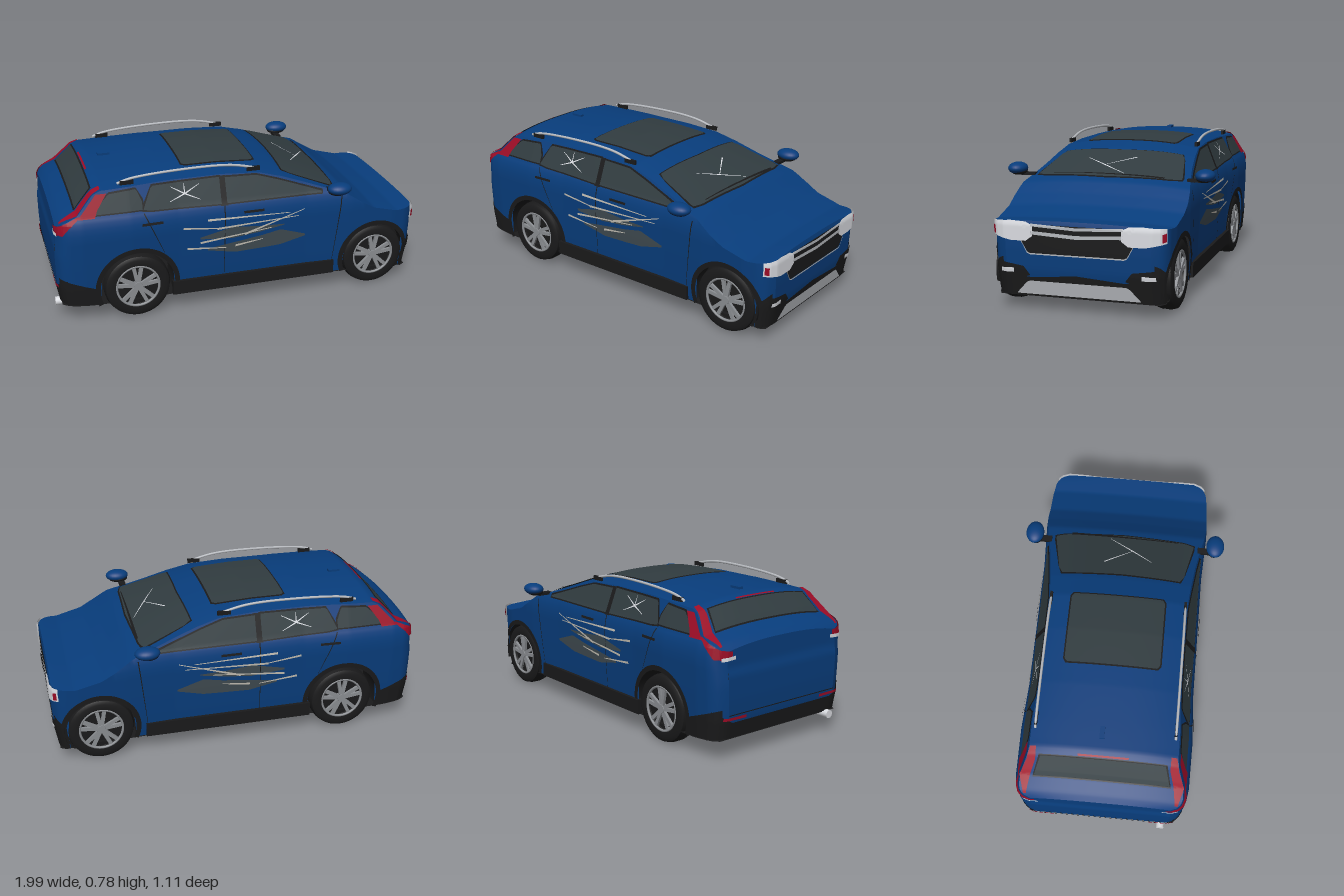
import * as THREE from 'three';
import { toCreasedNormals } from 'three/addons/utils/BufferGeometryUtils.js';

const mat = (name, color) => new THREE.MeshStandardMaterial({ name, color, side: THREE.DoubleSide });
const blue = mat('body blue', 0x083d7c), glass = mat('tinted glass', 0x313c40), black = mat('black trim', 0x1a1a1b),
  silver = mat('silver', 0xb6b9be), alloy = mat('wheel alloy', 0x8b8e92), white = mat('lamp white', 0xdadce1),
  red = mat('lamp red', 0x9c0c26), primer = mat('bare primer', 0x3f4a50), chalk = mat('scratch', 0xc2bdb2);

// Piecewise linear lookup in a list of [in, out] pairs
function lerp(pts, t) {
  if (t <= pts[0][0]) return pts[0][1];
  for (let i = 1; i < pts.length; i++) {
    const [a, va] = pts[i - 1], [b, vb] = pts[i];
    if (t <= b) return va + (vb - va) * (t - a) / (b - a);
  }
  return pts[pts.length - 1][1];
}

// Body form: plan outline, side section, centre line and edge drop
const END = 0.985;
const PLAN = [[0, 0.445], [0.35, 0.445], [0.6, 0.458], [0.85, 0.455], [0.92, 0.445], [0.95, 0.43], [0.97, 0.41], [END, 0.37]];
const PLAN_INV = PLAN.slice(3).map(([x, z]) => [z, x]).reverse();
const SECTION = [[0.06, 0.95], [0.2, 0.975], [0.35, 0.99], [0.5, 1], [0.56, 0.975], [0.59, 0.94], [0.73, 0.815], [0.77, 0.78]];
const TOP = [[-END, 0.57], [-0.95, 0.595], [-0.87, 0.63], [-0.78, 0.725], [-0.74, 0.742], [-0.4, 0.755], [-0.1, 0.755],
  [0.1, 0.743], [0.22, 0.712], [0.53, 0.597], [0.57, 0.582], [0.65, 0.528], [0.73, 0.48], [0.87, 0.441], [END, 0.445]];
const DROP = [[-END, 0.03], [-0.7, 0.035], [0.2, 0.035], [0.6, 0.02], [END, 0.012]];
const BASE = [[-END, 0.11], [-0.8, 0.1], [0.85, 0.1], [0.93, 0.07]];
const WHEELS = [{ name: 'front', x: 0.745, arch: 0.19 }, { name: 'rear', x: -0.575, arch: 0.205 }];
const HUB = 0.175;

const sideZ = (x, y) => lerp(PLAN, Math.abs(x)) * lerp(SECTION, y);
const edgeY = x => lerp(TOP, x) - lerp(DROP, x);
function topY(x, z) {
  const e = edgeY(x), f = Math.min(1, Math.abs(z) / sideZ(x, e));
  return e + lerp(DROP, x) * (1 - f ** 2.5);
}
function bottomY(x) {
  let y = lerp(BASE, x);
  for (const w of WHEELS) {
    const d = w.arch ** 2 - (x - w.x) ** 2;
    if (d > 0.075 ** 2) y = HUB + Math.sqrt(d);
  }
  return y;
}
// Tucks the bumpers in at their lower edges
function place(x, y, z) {
  const t = Math.max(0, (Math.abs(x) - 0.85) / 0.135);
  return [x - Math.sign(x) * t * lerp([[0.06, 0.025], [0.2, 0.004], [0.3, 0], [0.42, 0], [0.46, 0.01]], y), y, z];
}
// Surface maps for details lying on the body, lifted by e
const onSide = e => (x, y) => place(x, y, sideZ(x, y) + e);
const onTop = e => (x, z) => place(x, topY(x, z) + e, z);
const onEnd = (s, e) => (z, y) => place(s * (lerp(PLAN_INV, Math.abs(z) / lerp(SECTION, y)) + e), y, z * (1 + e));

function grid(nu, nv, fn) {
  const pos = [], idx = [];
  for (let i = 0; i <= nu; i++) for (let j = 0; j <= nv; j++) pos.push(...fn(i / nu, j / nv));
  for (let i = 0; i < nu; i++) for (let j = 0; j < nv; j++) {
    const a = i * (nv + 1) + j, b = a + nv + 1;
    idx.push(a, b, a + 1, b, b + 1, a + 1);
  }
  const g = new THREE.BufferGeometry();
  g.setAttribute('position', new THREE.Float32BufferAttribute(pos, 3));
  g.setIndex(idx);
  return toCreasedNormals(g, 0.6);
}
function add(parent, name, geo, material, x = 0, y = 0, z = 0) {
  const m = new THREE.Mesh(geo, material);
  m.name = name;
  m.position.set(x, y, z);
  parent.add(m);
  return m;
}
// Thin panel given by columns [u, low, high] on a surface map
function panel(parent, name, cols, map, material) {
  const lo = cols.map(c => [c[0], c[1]]), hi = cols.map(c => [c[0], c[2]]);
  const u0 = cols[0][0], u1 = cols[cols.length - 1][0];
  add(parent, name, grid(36, 10, (s, t) => {
    const u = u0 + (u1 - u0) * s;
    return map(u, lerp(lo, u) * (1 - t) + lerp(hi, u) * t);
  }), material);
}
// Glass with a narrow black seal around it
function pane(parent, name, cols, on) {
  const k = 0.008, n = cols.length - 1;
  const seal = cols.map(([u, a, b], i) => [u + (i === 0 ? -k : i === n ? k : 0), a - k, b + k]);
  panel(parent, name + 'Seal', seal, on(0.003), black);
  panel(parent, name, cols, on(0.006), glass);
}
// Tapered stroke from (a,b) to (c,d)
function stroke(parent, name, [a, b, c, d], w, map, material) {
  const l = Math.hypot(c - a, d - b), nx = -(d - b) / l, ny = (c - a) / l;
  add(parent, name, grid(10, 1, (s, t) => {
    const o = (t - 0.5) * w * (1.2 - 0.8 * s);
    return map(a + (c - a) * s + nx * o, b + (d - b) * s + ny * o);
  }), material);
}

function makeWheel(name) {
  const g = new THREE.Group();
  g.name = name + 'Wheel';
  const prof = [[0.105, -0.045], [0.15, -0.054], [0.168, -0.044], [0.175, -0.02], [0.17, -0.015], [0.17, -0.008], [0.175, -0.004],
    [0.175, 0.02], [0.168, 0.044], [0.15, 0.054], [0.118, 0.05], [0.112, 0.03]].map(p => new THREE.Vector2(...p));
  add(g, 'tyre', toCreasedNormals(new THREE.LatheGeometry(prof, 48).rotateX(Math.PI / 2), 0.7), black);
  add(g, 'wheelBack', new THREE.CylinderGeometry(0.113, 0.113, 0.05, 40).rotateX(Math.PI / 2), black);
  add(g, 'rimEdge', new THREE.TorusGeometry(0.113, 0.007, 8, 48), alloy, 0, 0, 0.045);
  add(g, 'hub', new THREE.CylinderGeometry(0.022, 0.026, 0.03, 20).rotateX(Math.PI / 2), alloy, 0, 0, 0.037);
  for (let i = 0; i < 10; i++) {
    const a = Math.floor(i / 2) * Math.PI * 0.4 + Math.PI / 2 + (i % 2 ? 0.19 : -0.19);
    const s = add(g, 'spoke', new THREE.BoxGeometry(0.098, 0.019, 0.014), alloy, Math.cos(a) * 0.063, Math.sin(a) * 0.063, 0.041);
    s.rotation.z = a;
  }
  return g;
}

function makeBody() {
  const g = new THREE.Group();
  g.name = 'body';
  const ROWS = [0.06, 0.1, 0.15, 0.2, 0.25, 0.3, 0.35, 0.4, 0.45, 0.5, 0.53, 0.56, 0.575, 0.59, 0.63, 0.67, 0.71, 0.76];
  const n = ROWS.length, across = 20, total = 2 * n + across - 1;
  add(g, 'bodyShell', grid(158, total - 1, (s, t) => {
    const x = -END + 2 * END * s, j = Math.round(t * (total - 1)), e = edgeY(x);
    if (j >= n && j < n + across - 1) {
      const z = sideZ(x, e) * (1 - 2 * (j - n + 1) / across);
      return place(x, topY(x, z), z);
    }
    const y = Math.min(e, Math.max(bottomY(x), ROWS[j < n ? j : total - 1 - j]));
    return place(x, y, sideZ(x, y) * (j < n ? 1 : -1));
  }), blue);
  for (const s of [-1, 1]) add(g, s > 0 ? 'noseFace' : 'tailFace', grid(20, 24, (u, v) => {
    const x = s * END, f = 2 * u - 1, b = bottomY(x), y = b + v * (topY(x, f * sideZ(x, edgeY(x))) - b);
    return place(x, y, f * sideZ(x, Math.min(y, edgeY(x))));
  }), blue);
  add(g, 'floor', grid(60, 2, (s, t) => {
    const x = -0.965 + 1.925 * s;
    return [x, lerp([[-END, 0.105], [-0.8, 0.095], [0.85, 0.095], [0.93, 0.068]], x), (2 * t - 1) * sideZ(x, 0.1)];
  }), black);

  // Windscreen, sunroof and tailgate glass
  pane(g, 'windscreen', [[-0.385, 0.485, 0.5], [-0.335, 0.24, 0.515], [0, 0.25, 0.53], [0.335, 0.24, 0.515], [0.385, 0.485, 0.5]],
    e => (z, x) => onTop(e)(x, z));
  pane(g, 'sunroof', [[-0.285, -0.235, 0.235], [-0.27, -0.25, 0.25], [0.09, -0.25, 0.25], [0.105, -0.235, 0.235]], onTop);
  pane(g, 'rearGlass', [[-0.87, -0.35, 0.35], [-0.785, -0.32, 0.32]], onTop);
  panel(g, 'highBrakeLamp', [[-0.775, -0.13, 0.13], [-0.765, -0.13, 0.13]], onTop(0.004), red);
  for (const c of [[0.33, -0.1, 0.42, 0.05], [0.42, 0.05, 0.5, -0.08], [0.42, 0.05, 0.35, 0.16]])
    stroke(g, 'windscreenCrack', c, 0.006, onTop(0.009), white);
  stroke(g, 'wiper', [0.52, -0.3, 0.51, 0.3], 0.012, onTop(0.012), black);
  add(g, 'aerialFin', new THREE.BoxGeometry(0.065, 0.012, 0.025), blue, -0.65, 0.752, -0.015);

  // Grille, lower bumper and skid plate
  const nose = e => onEnd(1, e);
  panel(g, 'grille', [[-0.28, 0.345, 0.35], [-0.245, 0.285, 0.39], [-0.22, 0.285, 0.425], [0.22, 0.285, 0.425], [0.245, 0.285, 0.39], [0.28, 0.345, 0.35]], nose(0.004), black);
  panel(g, 'grilleUpperBar', [[-0.23, 0.417, 0.43], [0, 0.405, 0.42], [0.23, 0.417, 0.43]], nose(0.009), silver);
  panel(g, 'grilleLowerBar', [[-0.23, 0.378, 0.395], [0, 0.365, 0.383], [0.23, 0.378, 0.395]], nose(0.009), silver);
  panel(g, 'grilleSill', [[-0.28, 0.345, 0.352], [-0.245, 0.28, 0.287], [0.245, 0.28, 0.287], [0.28, 0.345, 0.352]], nose(0.008), silver);
  panel(g, 'frontLowerBumper', [[-0.43, 0.07, 0.24], [-0.4, 0.07, 0.2], [-0.25, 0.07, 0.165], [0, 0.07, 0.185], [0.25, 0.07, 0.165], [0.4, 0.07, 0.2], [0.43, 0.07, 0.24]], nose(0.004), black);
  panel(g, 'skidPlate', [[-0.31, 0.08, 0.083], [-0.25, 0.08, 0.148], [0.25, 0.08, 0.148], [0.31, 0.08, 0.083]], nose(0.008), silver);
  panel(g, 'rearLowerBumper', [[-0.43, 0.11, 0.25], [-0.34, 0.11, 0.19], [0.34, 0.11, 0.19], [0.43, 0.11, 0.25]], onEnd(-1, 0.004), black);
  panel(g, 'tailgateSeam', [[-0.36, 0.225, 0.23], [0.36, 0.225, 0.23]], onEnd(-1, 0.003), black);
  add(g, 'exhaust', new THREE.CylinderGeometry(0.022, 0.022, 0.07, 16).rotateZ(Math.PI / 2), white, -0.96, 0.095, 0.33);
  return g;
}

// Everything repeated on both flanks
function makeFlank() {
  const g = new THREE.Group();
  pane(g, 'frontDoorGlass', [[-0.09, 0.58, 0.705], [0.08, 0.58, 0.7], [0.2, 0.58, 0.665], [0.32, 0.58, 0.625], [0.43, 0.58, 0.588]], onSide);
  pane(g, 'rearDoorGlass', [[-0.53, 0.597, 0.602], [-0.48, 0.59, 0.705], [-0.12, 0.58, 0.71]], onSide);
  pane(g, 'quarterGlass', [[-0.8, 0.6, 0.605], [-0.7, 0.6, 0.69], [-0.56, 0.6, 0.7], [-0.535, 0.6, 0.64]], onSide);
  panel(g, 'centrePillar', [[-0.125, 0.57, 0.715], [-0.085, 0.57, 0.715]], onSide(0.005), black);
  for (const c of [[-0.31, 0.65, -0.38, 0.69], [-0.31, 0.65, -0.23, 0.69], [-0.31, 0.65, -0.39, 0.62], [-0.31, 0.65, -0.23, 0.615], [-0.31, 0.65, -0.31, 0.7]])
    stroke(g, 'windowCrack', c, 0.006, onSide(0.009), white);
  for (const c of [[-0.105, 0.57, -0.11, 0.17], [0.54, 0.55, 0.5, 0.17], [-0.53, 0.58, -0.43, 0.35]])
    stroke(g, 'doorSeam', c, 0.005, onSide(0.003), black);
  for (const x of [-0.545, -0.005]) panel(g, 'doorHandle', [[x, 0.52, 0.533], [x + 0.11, 0.52, 0.533]], onSide(0.009), black);

  // Dents and scratches on the doors
  panel(g, 'lowerDent', [[-0.2, 0.33, 0.34], [-0.05, 0.3, 0.36], [0.1, 0.305, 0.38], [0.2, 0.31, 0.4], [0.34, 0.345, 0.355]], onSide(0.003), primer);
  panel(g, 'upperDent', [[-0.24, 0.4, 0.41], [-0.06, 0.385, 0.45], [0.08, 0.4, 0.435], [0.22, 0.425, 0.43]], onSide(0.003), primer);
  for (const c of [[-0.33, 0.475, -0.13, 0.45], [-0.31, 0.355, -0.1, 0.335], [-0.2, 0.505, 0.25, 0.495], [-0.15, 0.45, 0.3, 0.47], [0, 0.4, 0.33, 0.505], [-0.24, 0.38, 0.15, 0.42], [-0.05, 0.34, 0.1, 0.36]])
    stroke(g, 'scratch', c, 0.01, onSide(0.006), chalk);

  // Lamps
  panel(g, 'headlamp', [[0.22, 0.37, 0.422], [0.255, 0.345, 0.438], [0.33, 0.345, 0.442], [0.43, 0.365, 0.436]], onEnd(1, 0.009), white);
  panel(g, 'sideMarker', [[0.412, 0.37, 0.41], [0.428, 0.375, 0.415]], onEnd(1, 0.013), red);
  panel(g, 'fogSurround', [[0.24, 0.175, 0.18], [0.27, 0.165, 0.22], [0.405, 0.17, 0.24]], onEnd(1, 0.006), black);
  panel(g, 'fogLamp', [[0.318, 0.187, 0.21], [0.385, 0.187, 0.207]], onEnd(1, 0.01), white);
  panel(g, 'tailLampUpper', [[0.585, -0.87, -0.78], [0.62, -0.835, -0.765], [0.695, -0.765, -0.71]], (y, x) => onSide(0.007)(x, Math.min(y, edgeY(x))), red);
  panel(g, 'tailLampTop', [[-0.965, 0.385, 0.4], [-0.87, 0.37, 0.425], [-0.8, 0.345, 0.39], [-0.74, 0.345, 0.375]], onTop(0.006), red);
  panel(g, 'tailLampSide', [[0.505, -0.98, -0.955], [0.545, -0.97, -0.92], [0.6, -0.93, -0.85]], (y, x) => onSide(0.007)(x, Math.min(y, edgeY(x))), red);
  panel(g, 'tailLampLower', [[0.34, 0.515, 0.54], [0.4, 0.5, 0.55], [0.425, 0.515, 0.565]], onEnd(-1, 0.006), red);
  panel(g, 'reverseLamp', [[0.32, 0.5, 0.518], [0.4, 0.495, 0.513]], onEnd(-1, 0.009), white);
  panel(g, 'rearReflector', [[0.25, 0.203, 0.217], [0.39, 0.205, 0.219]], onEnd(-1, 0.008), red);

  // Cladding, sill and wheel arches
  add(g, 'sill', new THREE.BoxGeometry(0.9, 0.075, 0.03), black, 0.06, 0.137, 0.435);
  panel(g, 'rearCornerCladding', [[-0.975, 0.11, 0.26], [-0.78, 0.1, 0.19]], onSide(0.004), black);
  panel(g, 'frontCornerCladding', [[0.925, 0.07, 0.2], [0.98, 0.07, 0.26]], onSide(0.004), black);
  for (const w of WHEELS) {
    add(g, w.name + 'ArchTrim', grid(40, 2, (s, t) => {
      const a = -0.4 + (Math.PI + 0.8) * s, r = w.arch - 0.007 + 0.026 * t;
      return onSide(0.005)(w.x + Math.cos(a) * r, HUB + Math.sin(a) * r);
    }), black);
    add(g, w.name + 'ArchLiner', new THREE.CylinderGeometry(w.arch, w.arch, 0.2, 40, 1, true, Math.PI / 2 - 0.3, Math.PI + 0.6).rotateX(Math.PI / 2), black, w.x, HUB, 0.34);
    const wheel = makeWheel(w.name);
    wheel.position.set(w.x, HUB, 0.394);
    g.add(wheel);
  }
  add(g, 'frontArchBack', new THREE.CircleGeometry(0.2, 32, 0, Math.PI), black, WHEELS[0].x, HUB, 0.36);

  // Door mirror and roof rail
  add(g, 'mirrorShell', new THREE.SphereGeometry(1, 24, 16).scale(0.065, 0.032, 0.05), blue, 0.5, 0.622, 0.505);
  add(g, 'mirrorBase', new THREE.SphereGeometry(1, 20, 12).scale(0.055, 0.022, 0.042), black, 0.495, 0.607, 0.5);
  add(g, 'mirrorStalk', new THREE.BoxGeometry(0.035, 0.015, 0.08), black, 0.48, 0.592, 0.45);
  const rail = new THREE.CatmullRomCurve3([[-0.65, 0.728], [-0.58, 0.748], [-0.3, 0.767], [-0.05, 0.761], [0.1, 0.728]].map(([x, y]) => new THREE.Vector3(x, y, 0.36)));
  add(g, 'roofRail', new THREE.TubeGeometry(rail, 40, 0.007, 8), silver);
  for (const x of [-0.6, 0.07]) add(g, 'railFoot', new THREE.BoxGeometry(0.07, 0.022, 0.014), black, x, 0.73, 0.36);
  return g;
}

export function createModel() {
  const model = new THREE.Group();
  model.name = 'estateCar';
  const near = makeFlank(), far = near.clone();
  near.name = 'nearFlank';
  far.name = 'farFlank';
  far.scale.z = -1;
  model.add(makeBody(), near, far);
  return model;
}
